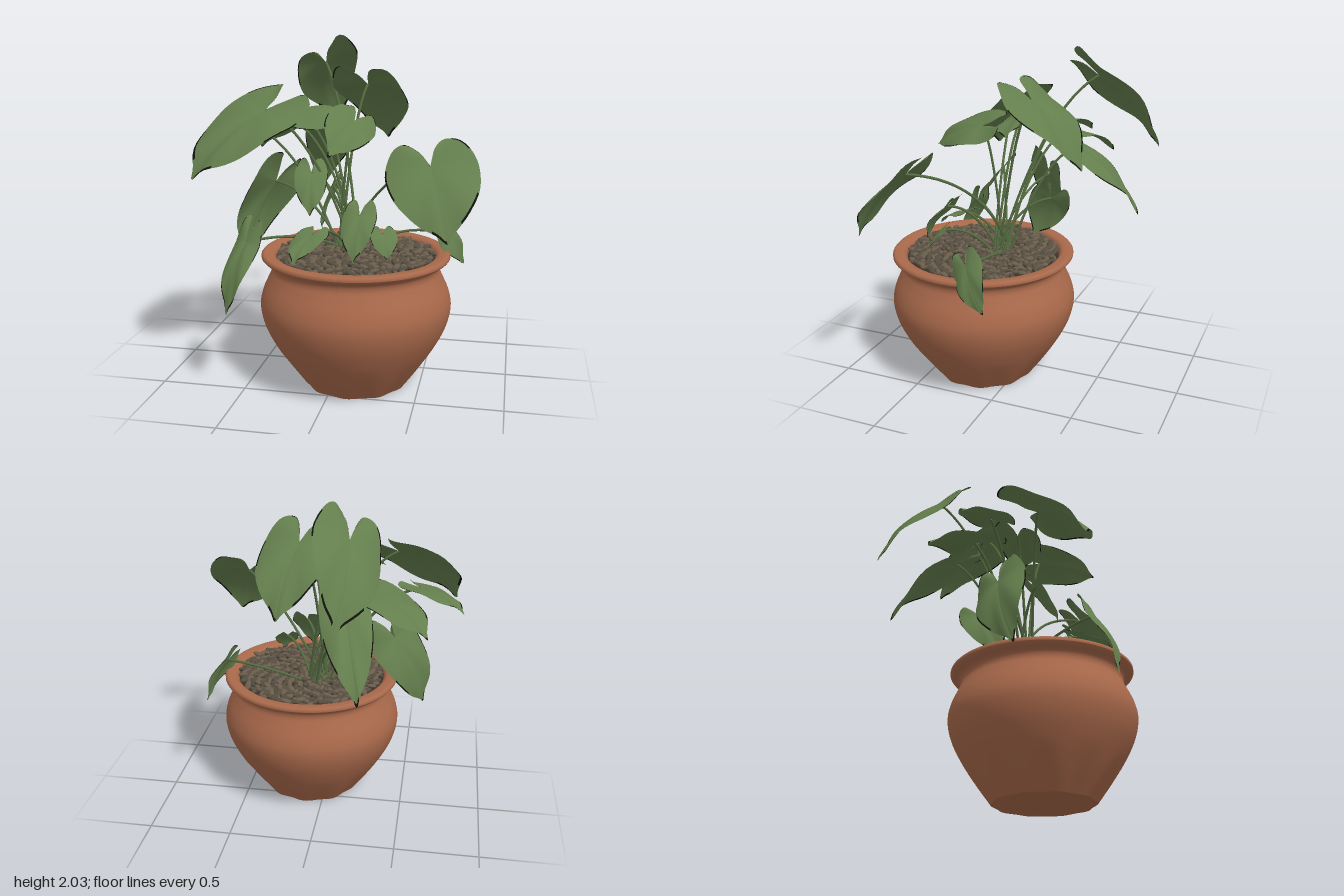
import * as THREE from 'three';
import { mergeGeometries } from 'three/addons/utils/BufferGeometryUtils.js';

const CX = 0.11, CZ = 0.22; // pot axis
const V2 = (p) => new THREE.Vector2(...p);

// Half outline of a heart leaf: [side, along], joint with the stalk at the origin
const HALF = [[0.03, -0.03], [0.16, -0.22], [0.42, -0.36], [0.74, -0.28], [0.96, 0.02],
  [0.88, 0.4], [0.56, 0.7], [0.17, 0.9]];
const OUTLINE = new THREE.SplineCurve([
  ...HALF.map(([t, s]) => new THREE.Vector2(-t, s)),
  new THREE.Vector2(0, 1),
  ...HALF.slice().reverse().map(V2),
]);

// Each leaf: joint x y z, tip x y z, half width, roll about its midrib
const LEAVES = [
  // high back leaves
  [-0.2, 1.85, -0.39, -0.17, 1.47, -0.77, 0.22, 0.68],
  [0.12, 1.74, -0.1, 0.2, 1.38, -0.43, 0.23, 0],
  [-0.16, 1.43, -0.28, -0.28, 1, -0.64, 0.15, -0.15],
  // left leaves
  [-0.42, 1.61, 0.23, -0.78, 1.24, 0.5, 0.28, 0.32],
  [-0.57, 1.48, -0.03, -0.82, 1.38, -0.16, 0.15, 0.2],
  [-0.32, 1.48, -0.15, -0.63, 1.3, -0.37, 0.2, 0.05],
  [-0.43, 1.15, 0, -0.61, 0.69, 0.1, 0.19, -1.1],
  [-0.46, 0.9, 0.53, -0.55, 0.5, 0.64, 0.09, 0.27],
  // middle leaves
  [-0.23, 1.57, 0.1, 0.09, 1.5, 0.08, 0.16, -0.35],
  [0.1, 1.56, 0.22, 0.02, 1.4, 0.56, 0.15, 0.6],
  [-0.16, 1.25, 0.2, -0.14, 1.02, 0.33, 0.1, 0],
  [-0.1, 1.1, -0.14, -0.14, 0.83, -0.01, 0.13, -1.15],
  // right leaves
  [0.56, 1.36, 0.48, 0.68, 1, 0.73, 0.26, -0.31],
  [0.62, 0.89, 0.09, 0.725, 0.67, -0.06, 0.11, -1.1],
  // low front leaves
  [0.17, 1.06, 0.43, 0.16, 0.83, 0.58, 0.1, 0],
  [-0.1, 0.94, 0.45, -0.16, 0.82, 0.65, 0.1, 0],
  [0.3, 0.95, 0.4, 0.33, 0.83, 0.48, 0.08, 0],
];

// Heart leaf swept as a fan of rings from the joint, bulged along its normal;
// group 0 is the blade, group 1 the withered bits of its edge
function leafGeometry([x, y, z, tx, ty, tz, width, roll], leaf) {
  const joint = new THREE.Vector3(x, y, z);
  const axis = new THREE.Vector3(tx, ty, tz).sub(joint), len = axis.length();
  const dir = axis.clone().normalize();
  const flat = new THREE.Vector3(-axis.z, 0, axis.x).normalize();
  const up = new THREE.Vector3().crossVectors(flat, dir);
  const side = flat.clone().multiplyScalar(Math.cos(roll)).addScaledVector(up, Math.sin(roll));
  const normal = new THREE.Vector3().crossVectors(side, dir);

  const cols = 64, pos = [], blade = [], edge = [];
  const rings = [0, 0.15, 0.3, 0.45, 0.6, 0.75, 0.88, 0.965, 1];
  rings.forEach((r, i) => {
    for (let j = 0; j <= cols; j++) {
      const o = OUTLINE.getPoint(j / cols);
      const s = o.y * r, t = Math.abs(o.x) * r;
      const arch = s * (1 - s) * (s < 0 ? 0.15 : 0.34);
      const wave = 0.025 * r * r * Math.sin(j * 0.62 + leaf) * Math.min(1, t * 3);
      const p = joint.clone().addScaledVector(axis, s)
        .addScaledVector(side, o.x * r * width)
        .addScaledVector(normal, (arch + 0.06 * t - 0.1 * t * t + wave) * len);
      pos.push(p.x, p.y, p.z);
      if (i < rings.length - 1 && j < cols) {
        const a = i * (cols + 1) + j, b = a + cols + 1;
        const withered = i === rings.length - 2 && Math.sin(j * 0.55 + leaf * 1.7) > 0.25;
        (withered ? edge : blade).push(a, b, a + 1, a + 1, b, b + 1);
      }
    }
  });
  const g = new THREE.BufferGeometry();
  g.setAttribute('position', new THREE.Float32BufferAttribute(pos, 3));
  g.setIndex([...blade, ...edge]);
  g.addGroup(0, blade.length, 0);
  g.addGroup(blade.length, edge.length, 1);
  g.computeVertexNormals();
  return g;
}

// Thin stalk arching from the crown to a leaf joint
function stalkGeometry([x, y, z], i) {
  const end = new THREE.Vector3(x, y, z), a = i * 2.4;
  const start = new THREE.Vector3(0.05 + 0.06 * Math.cos(a), 0.76, 0.12 + 0.05 * Math.sin(a));
  const mid = start.clone().lerp(end, 0.45);
  mid.y = 0.78 + (end.y - 0.78) * 0.78 + 0.06;
  if (end.x > 0.4) mid.z -= 0.14;
  return new THREE.TubeGeometry(new THREE.QuadraticBezierCurve3(start, mid, end), 20, 0.008, 6);
}

// Round pot with a flared rim and shallow flutes near the foot
function potGeometry() {
  const foot = [[0, 0.012], [0.25, 0.012], [0.27, 0], [0.305, 0]].map(V2);
  const outer = new THREE.SplineCurve([[0.305, 0], [0.395, 0.125], [0.475, 0.25], [0.535, 0.37],
    [0.56, 0.48], [0.545, 0.57], [0.505, 0.66], [0.488, 0.705], [0.497, 0.74], [0.535, 0.762],
    [0.55, 0.777]].map(V2)).getPoints(48);
  const rim = [[0.55, 0.79], [0.542, 0.799], [0.53, 0.802], [0.49, 0.8], [0.472, 0.79],
    [0.462, 0.77], [0.46, 0.7]].map(V2);
  const g = new THREE.LatheGeometry([...foot, ...outer, ...rim], 120);
  const p = g.attributes.position;
  for (let i = 0; i < p.count; i++) {
    const x = p.getX(i), y = p.getY(i), z = p.getZ(i);
    if (y > 0.24 || Math.hypot(x, z) < 0.2) continue;
    const flute = 0.5 + 0.5 * Math.cos(10 * Math.atan2(z, x));
    const k = 1 - 0.045 * (1 - y / 0.24) * flute;
    p.setXYZ(i, x * k, y, z * k);
  }
  g.computeVertexNormals();
  return g;
}

// Oval pebbles packed on a spiral, every second one of them
function pebblesGeometry(first) {
  let seed = 7 + first;
  const rnd = () => (seed = (seed * 16807) % 2147483647) / 2147483647;
  const list = [], count = 600, o = new THREE.Object3D();
  for (let i = first; i < count; i += 2) {
    const r = 0.45 * Math.sqrt((i + 0.5) / count), a = i * 2.39996 + rnd() * 0.04;
    o.position.set(r * Math.cos(a), 0.774 + rnd() * 0.018, r * Math.sin(a));
    o.rotation.set((rnd() - 0.5) * 0.9, rnd() * 6.28, (rnd() - 0.5) * 0.9);
    o.scale.set(0.028 + rnd() * 0.01, 0.011 + rnd() * 0.005, 0.014 + rnd() * 0.005);
    o.updateMatrix();
    list.push(new THREE.SphereGeometry(1, 8, 6).applyMatrix4(o.matrix));
  }
  return mergeGeometries(list);
}

export function createModel() {
  const mat = (name, color, side = THREE.FrontSide) => {
    const m = new THREE.MeshStandardMaterial({ color, side });
    m.name = name;
    return m;
  };
  const terracotta = mat('terracotta', 0xa9694b);
  const soil = mat('dark soil', 0x3b3128);
  const stone = mat('brown stone', 0x6a5d4c);
  const darkStone = mat('dark stone', 0x574e41);
  const green = mat('leaf green', 0x647e4d, THREE.DoubleSide);
  const withered = mat('withered edge', 0x10120c, THREE.DoubleSide);
  const stalkGreen = mat('stalk green', 0x566d42);

  const model = new THREE.Group();
  model.name = 'pottedPlant';
  const add = (name, geometry, material, parent) => {
    const m = new THREE.Mesh(geometry, material);
    m.name = name;
    parent.add(m);
    return m;
  };

  // Pot and its filling
  const planter = new THREE.Group();
  planter.name = 'planter';
  planter.position.set(CX, 0, CZ);
  model.add(planter);
  add('pot', potGeometry(), terracotta, planter);
  add('soil', new THREE.CylinderGeometry(0.461, 0.461, 0.04, 64), soil, planter).position.y = 0.752;
  add('pebbles', pebblesGeometry(0), stone, planter);
  add('darkPebbles', pebblesGeometry(1), darkStone, planter);

  // Leaves with their stalks
  const plant = new THREE.Group();
  plant.name = 'plant';
  model.add(plant);
  LEAVES.forEach((leaf, i) => {
    add('leaf' + (i + 1), leafGeometry(leaf, i), [green, withered], plant);
    add('stalk' + (i + 1), stalkGeometry(leaf, i), stalkGreen, plant);
  });
  return model;
}
